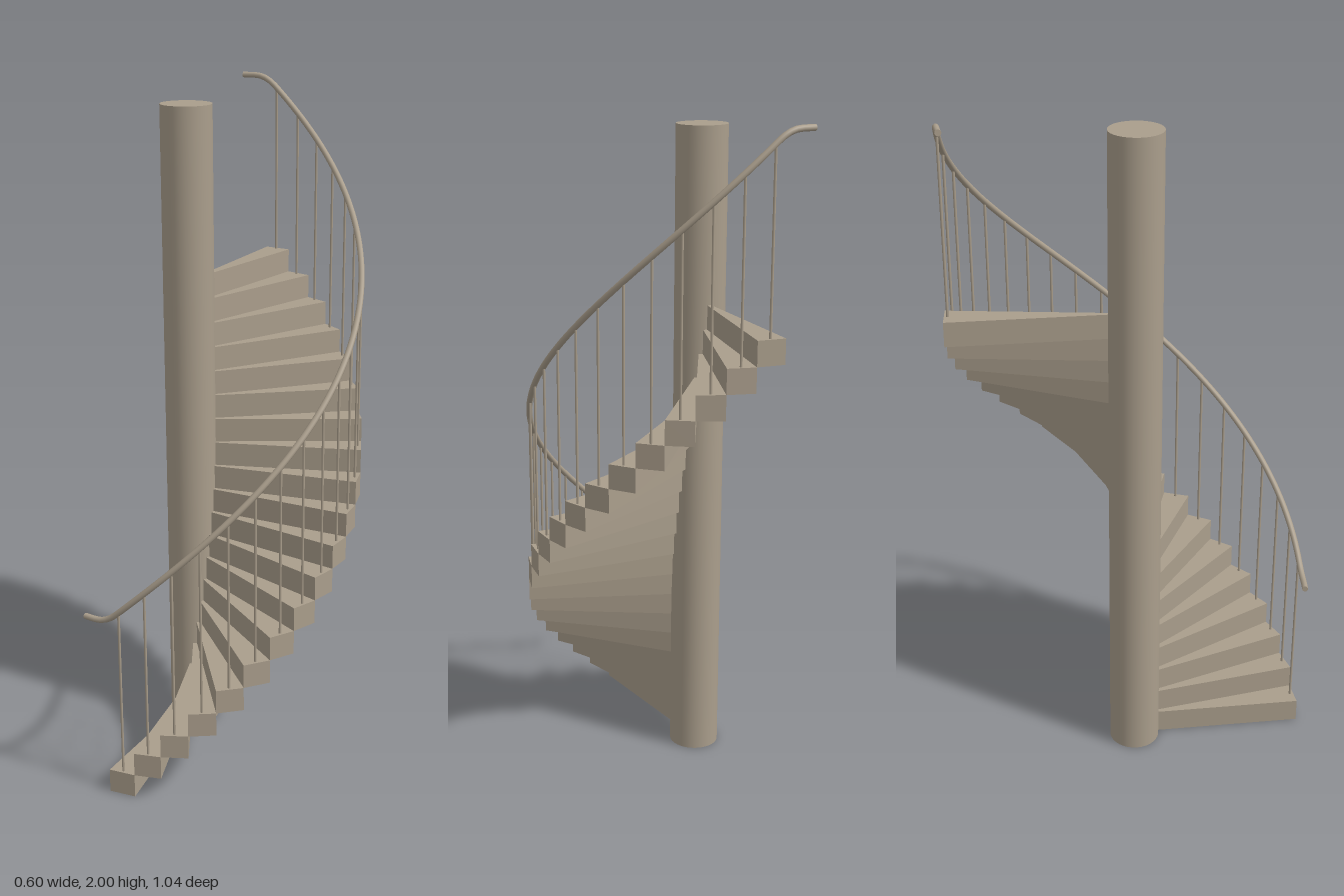
import * as THREE from 'three';

const STEPS = 20;
const RISE = 0.0723;
const TURN = Math.PI / STEPS;      // angle of one step
const START = -Math.PI / 2;        // first step begins at the front
const STEP_R = 0.522, RAIL_R = 0.51, POLE_R = 0.076, POLE_H = 1.96;
const RAIL_LOW = 0.553, RAIL_HIGH = 1.991, RAIL_T = 0.009;

const railHeight = (a) =>
  RAIL_LOW + (RAIL_HIGH - RAIL_LOW) * THREE.MathUtils.clamp((a - START) / Math.PI, 0, 1);

// Handrail path: a helix with a short level run at each end
class RailCurve extends THREE.Curve {
  getPoint(t, target = new THREE.Vector3()) {
    const over = 0.148, ease = 0.06;
    const a = START - over + t * (Math.PI + 2 * over);
    // averaging nearby heights softens the bends
    let y = 0;
    for (let i = -4; i <= 4; i++) y += railHeight(a + (ease * i) / 4) / 9;
    return target.set(Math.cos(a) * RAIL_R, y, -Math.sin(a) * RAIL_R);
  }
}

export function createModel() {
  const model = new THREE.Group();
  model.name = 'spiralStaircase';
  const stair = new THREE.Group();
  stair.name = 'stair';
  stair.position.x = -0.224;
  model.add(stair);

  const smooth = new THREE.MeshStandardMaterial({ color: 0xaa9e8c });
  const flat = new THREE.MeshStandardMaterial({ color: 0xaa9e8c, flatShading: true });

  const add = (name, geometry, material, parent = stair) => {
    const mesh = new THREE.Mesh(geometry, material);
    mesh.name = name;
    parent.add(mesh);
    return mesh;
  };

  // Central pole
  add('pole', new THREE.CylinderGeometry(POLE_R, POLE_R, POLE_H, 32), smooth)
    .position.y = POLE_H / 2;

  // Wedge-shaped solid step, running from inside the pole to the rim
  const wedge = new THREE.Shape();
  const inner = 0.05;
  wedge.moveTo(inner, 0);
  wedge.lineTo(STEP_R, 0);
  wedge.lineTo(STEP_R * Math.cos(TURN), STEP_R * Math.sin(TURN));
  wedge.lineTo(inner * Math.cos(TURN), inner * Math.sin(TURN));
  wedge.closePath();
  const stepGeometry = new THREE.ExtrudeGeometry(wedge, { depth: RISE, bevelEnabled: false });
  stepGeometry.rotateX(-Math.PI / 2);

  const steps = new THREE.Group();
  steps.name = 'steps';
  const balusters = new THREE.Group();
  balusters.name = 'balusters';
  stair.add(steps, balusters);

  for (let i = 0; i < STEPS; i++) {
    const a = START + i * TURN;
    const step = add('step', stepGeometry, flat, steps);
    step.position.y = i * RISE;
    step.rotation.y = a;

    // One baluster at the middle of each step, up into the rail
    const mid = a + TURN / 2;
    const bottom = (i + 1) * RISE - 0.005;
    const height = railHeight(mid) - bottom;
    const bar = add('baluster', new THREE.CylinderGeometry(0.004, 0.004, height, 8), smooth, balusters);
    bar.position.set(Math.cos(mid) * RAIL_R, bottom + height / 2, -Math.sin(mid) * RAIL_R);
  }

  // Handrail with closed ends
  const path = new RailCurve();
  add('handrail', new THREE.TubeGeometry(path, 120, RAIL_T, 10, false), smooth);
  for (const t of [0, 1]) {
    const cap = add('handrailEnd', new THREE.CircleGeometry(RAIL_T, 10), smooth);
    const out = path.getTangent(t).multiplyScalar(t ? 1 : -1);
    cap.position.copy(path.getPoint(t));
    cap.quaternion.setFromUnitVectors(new THREE.Vector3(0, 0, 1), out);
  }

  return model;
}
